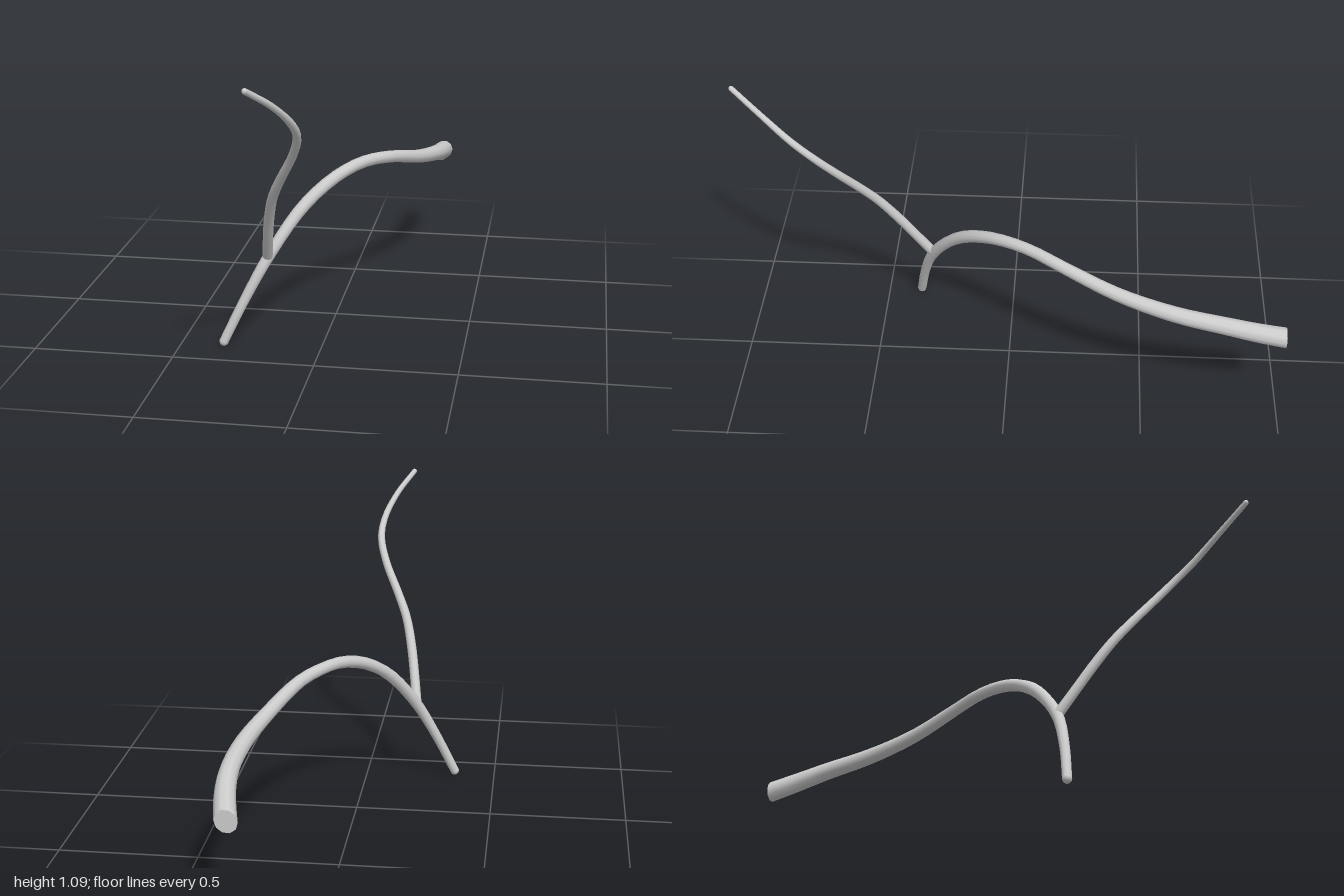
import * as THREE from 'three';

const SIDES = 10;
const material = new THREE.MeshStandardMaterial({ color: 0xcccccc });

// Each station is [x, y, z, radius]; sweeps a round, tapering limb through them.
function taperedTube(stations, segments) {
  const curve = new THREE.CatmullRomCurve3(stations.map(([x, y, z]) => new THREE.Vector3(x, y, z)));
  const geometry = new THREE.TubeGeometry(curve, segments, 1, SIDES, false);
  const pos = geometry.attributes.position;
  const v = new THREE.Vector3();
  for (let i = 0; i <= segments; i++) {
    const centre = curve.getPointAt(i / segments);
    const t = curve.getUtoTmapping(i / segments) * (stations.length - 1);
    const k = Math.min(Math.floor(t), stations.length - 2);
    const radius = THREE.MathUtils.lerp(stations[k][3], stations[k + 1][3], t - k);
    for (let j = 0; j <= SIDES; j++) {
      const n = i * (SIDES + 1) + j;
      v.fromBufferAttribute(pos, n).sub(centre).multiplyScalar(radius).add(centre);
      pos.setXYZ(n, v.x, v.y, v.z);
    }
  }
  return { geometry, endTangent: curve.getTangentAt(1) };
}

function addMesh(group, name, geometry) {
  const mesh = new THREE.Mesh(geometry, material);
  mesh.name = name;
  group.add(mesh);
  return mesh;
}

// Rounded end on a limb
function addTip(group, name, [x, y, z, radius]) {
  addMesh(group, name, new THREE.SphereGeometry(radius, SIDES, 8)).position.set(x, y, z);
}

export function createModel() {
  const model = new THREE.Group();
  model.name = 'forkedBranch';

  // Main limb, from the thin foot to the thick sawn end
  const main = [
    [-0.345, 0.017, 0.37, 0.017], [-0.275, 0.165, 0.345, 0.018], [-0.195, 0.318, 0.3, 0.021],
    [-0.098, 0.465, 0.2, 0.023], [-0.015, 0.54, 0.1, 0.023], [0.055, 0.573, 0, 0.022],
    [0.11, 0.578, -0.09, 0.022], [0.177, 0.564, -0.2, 0.023], [0.259, 0.513, -0.4, 0.026],
    [0.31, 0.475, -0.6, 0.03], [0.324, 0.442, -0.78, 0.033], [0.313, 0.405, -0.9, 0.036],
    [0.291, 0.369, -1, 0.038],
  ];
  const segments = 36;
  const { geometry, endTangent } = taperedTube(main, segments);

  // Saw the thick end off square at z = -1, sliding its last ring along the limb
  const pos = geometry.attributes.position;
  const rim = [];
  for (let j = 0; j <= SIDES; j++) {
    const n = segments * (SIDES + 1) + j;
    const slide = (-1 - pos.getZ(n)) / endTangent.z;
    pos.setXYZ(n, pos.getX(n) + endTangent.x * slide, pos.getY(n) + endTangent.y * slide, -1);
    if (j < SIDES) rim.push(new THREE.Vector2(-pos.getX(n), pos.getY(n)));
  }
  addMesh(model, 'mainLimb', geometry);
  addTip(model, 'mainLimbFoot', main[0]);

  // Flat cut face, turned to look backwards
  const cut = addMesh(model, 'cutFace', new THREE.ShapeGeometry(new THREE.Shape(rim)));
  cut.rotation.y = Math.PI;
  cut.position.z = -1;

  // Thin side shoot rising from the fork
  const shoot = [
    [-0.197, 0.315, 0.3, 0.019], [-0.182, 0.41, 0.365, 0.018], [-0.165, 0.5, 0.425, 0.018],
    [-0.138, 0.6, 0.494, 0.017], [-0.095, 0.69, 0.558, 0.016], [-0.045, 0.783, 0.626, 0.015],
    [-0.015, 0.868, 0.7, 0.014], [-0.02, 0.932, 0.775, 0.013], [-0.06, 1.012, 0.88, 0.011],
    [-0.12, 1.083, 0.99, 0.01],
  ];
  addMesh(model, 'sideShoot', taperedTube(shoot, 30).geometry);
  addTip(model, 'sideShootTip', shoot[shoot.length - 1]);

  return model;
}
